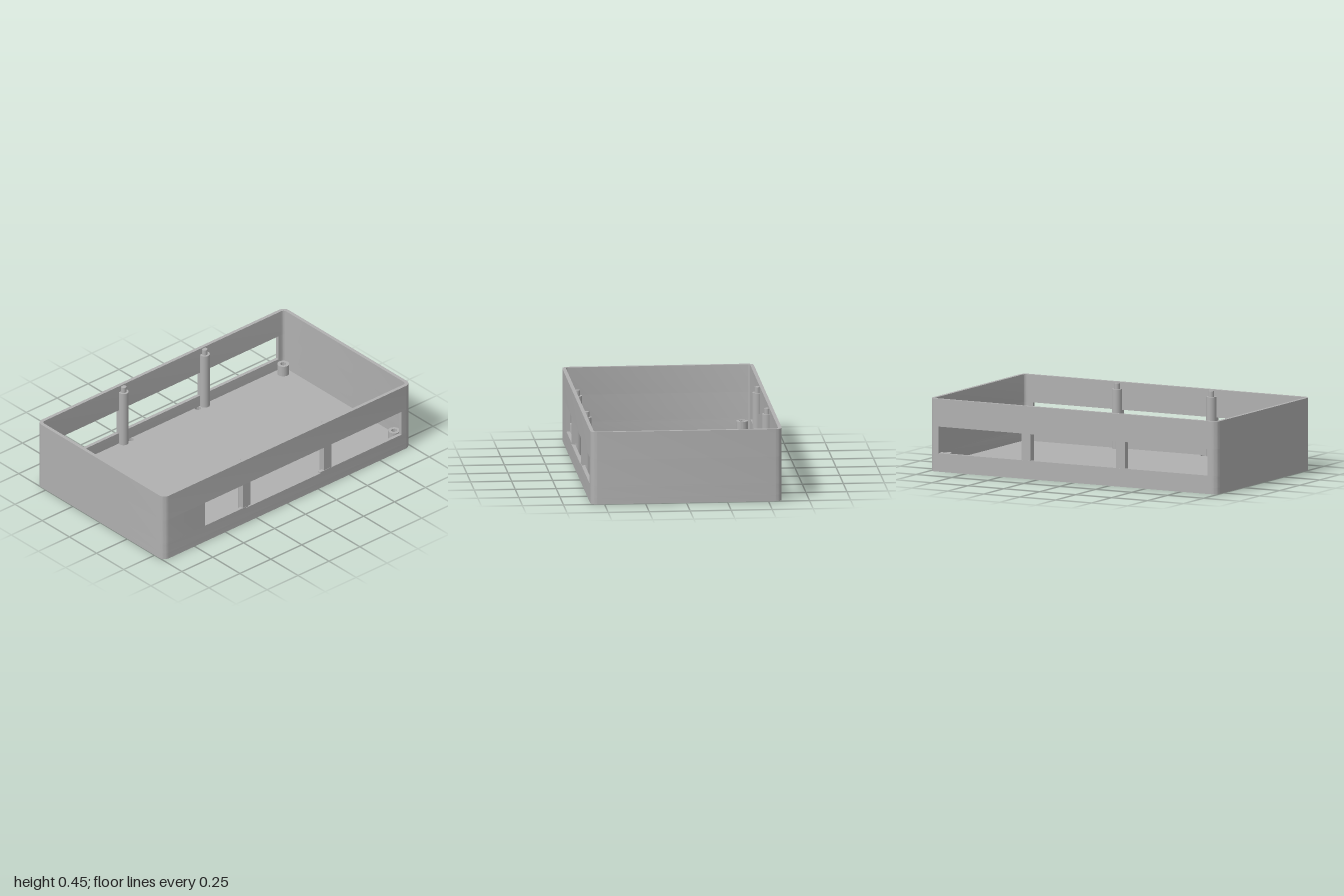
import * as THREE from 'three';
import { toCreasedNormals } from 'three/addons/utils/BufferGeometryUtils.js';

const X = 1, Z = 0.584, H = 0.447;   // half width, half depth, height
const WALL = 0.022, R = 0.042;       // wall thickness, corner radius
const FLOOR = 0.04;                  // floor thickness
const NOTCH = 0.105, SILL = 0.113, HEAD = 0.277;

const grey = new THREE.MeshStandardMaterial({ color: 0xb0b0b0 });
grey.name = 'grey plastic';

// Rounded corner points; angles run from a0 over a quarter turn
function corner(cx, cy, r, a0, steps = 8) {
  const pts = [];
  for (let i = 0; i <= steps; i++) {
    const a = a0 + (i / steps) * Math.PI / 2;
    pts.push(new THREE.Vector2(cx + r * Math.cos(a), cy + r * Math.sin(a)));
  }
  return pts;
}

// The two corners of the +x end, inset from the outer face
function endCorners(inset) {
  const r = R - inset;
  return [
    ...corner(X - R, -Z + R, r, -Math.PI / 2),
    ...corner(X - R, Z - R, r, 0),
  ];
}

// Complete rounded rectangle
function outline(inset) {
  const end = endCorners(inset);
  return [...end, ...end.map((p) => new THREE.Vector2(-p.x, -p.y))];
}

// U-shaped wall plan around one end, reaching xFront on the front and xBack on the back
function endWall(side, xFront, xBack) {
  const pts = [
    new THREE.Vector2(side * xFront, -Z),
    ...endCorners(0),
    new THREE.Vector2(side * xBack, Z),
    new THREE.Vector2(side * xBack, Z - WALL),
    ...endCorners(WALL).reverse(),
    new THREE.Vector2(side * xFront, -Z + WALL),
  ];
  return new THREE.Shape(pts.map((p) => new THREE.Vector2(side * p.x, p.y)));
}

function circlePath(x, y, r) {
  return new THREE.Path().absarc(x, y, r, 0, Math.PI * 2, true);
}

// Extrude a plan upwards from y0 to y1 (plan y is -z)
function slab(name, shape, y0, y1) {
  let geo = new THREE.ExtrudeGeometry(shape, { depth: y1 - y0, bevelEnabled: false, curveSegments: 24 });
  geo.rotateX(-Math.PI / 2);
  geo.translate(0, y0, 0);
  geo = toCreasedNormals(geo, 0.6);
  const mesh = new THREE.Mesh(geo, grey);
  mesh.name = name;
  return mesh;
}

function ringShape() {
  const shape = new THREE.Shape(outline(0));
  shape.holes.push(new THREE.Path(outline(WALL)));
  return shape;
}

function cylinder(name, r, y0, y1, x, z) {
  const mesh = new THREE.Mesh(new THREE.CylinderGeometry(r, r, y1 - y0, 28), grey);
  mesh.position.set(x, (y0 + y1) / 2, z);
  mesh.name = name;
  return mesh;
}

export function createModel() {
  const model = new THREE.Group();
  model.name = 'openEnclosure';
  const postX = 0.328, postZ = 0.55;

  // Floor with four small drain holes beside the posts
  const floor = new THREE.Shape(outline(0));
  for (const sx of [-1, 1]) for (const sz of [-1, 1]) floor.holes.push(circlePath(sx * 0.273, sz * 0.549, 0.019));
  model.add(slab('floor', floor, 0, FLOOR));

  // Walls: full rings below and above, open layers for the windows
  model.add(slab('lowerWall', ringShape(), FLOOR, NOTCH));
  model.add(slab('rightSill', endWall(-1, -0.335, 0), NOTCH, SILL));
  model.add(slab('leftSill', endWall(1, 0.265, 0), NOTCH, SILL));
  model.add(slab('rightWindowWall', endWall(-1, -0.665, -0.935), SILL, HEAD));
  model.add(slab('leftWindowWall', endWall(1, 0.92, 0.935), SILL, HEAD));
  model.add(slab('upperWall', ringShape(), HEAD, H));

  for (const sx of [-1, 1]) {
    for (const sz of [-1, 1]) {
      // Tall post with locating pin, backed by a window mullion
      const post = new THREE.Group();
      post.name = 'post';
      post.add(cylinder('postShaft', 0.031, FLOOR, 0.405, sx * postX, sz * postZ));
      post.add(cylinder('postPin', 0.017, 0.405, 0.44, sx * postX, sz * postZ));
      const mullion = new THREE.Mesh(new THREE.BoxGeometry(0.062, HEAD - SILL, 0.032), grey);
      mullion.position.set(sx * postX, (HEAD + SILL) / 2, sz * 0.566);
      mullion.name = 'windowMullion';
      post.add(mullion);
      model.add(post);

      // Short hollow screw boss in each corner
      const boss = new THREE.Shape().absarc(sx * 0.927, sz * 0.51, 0.036, 0, Math.PI * 2, false);
      boss.holes.push(circlePath(sx * 0.927, sz * 0.51, 0.018));
      model.add(slab('screwBoss', boss, FLOOR, 0.108));
    }
  }
  return model;
}
